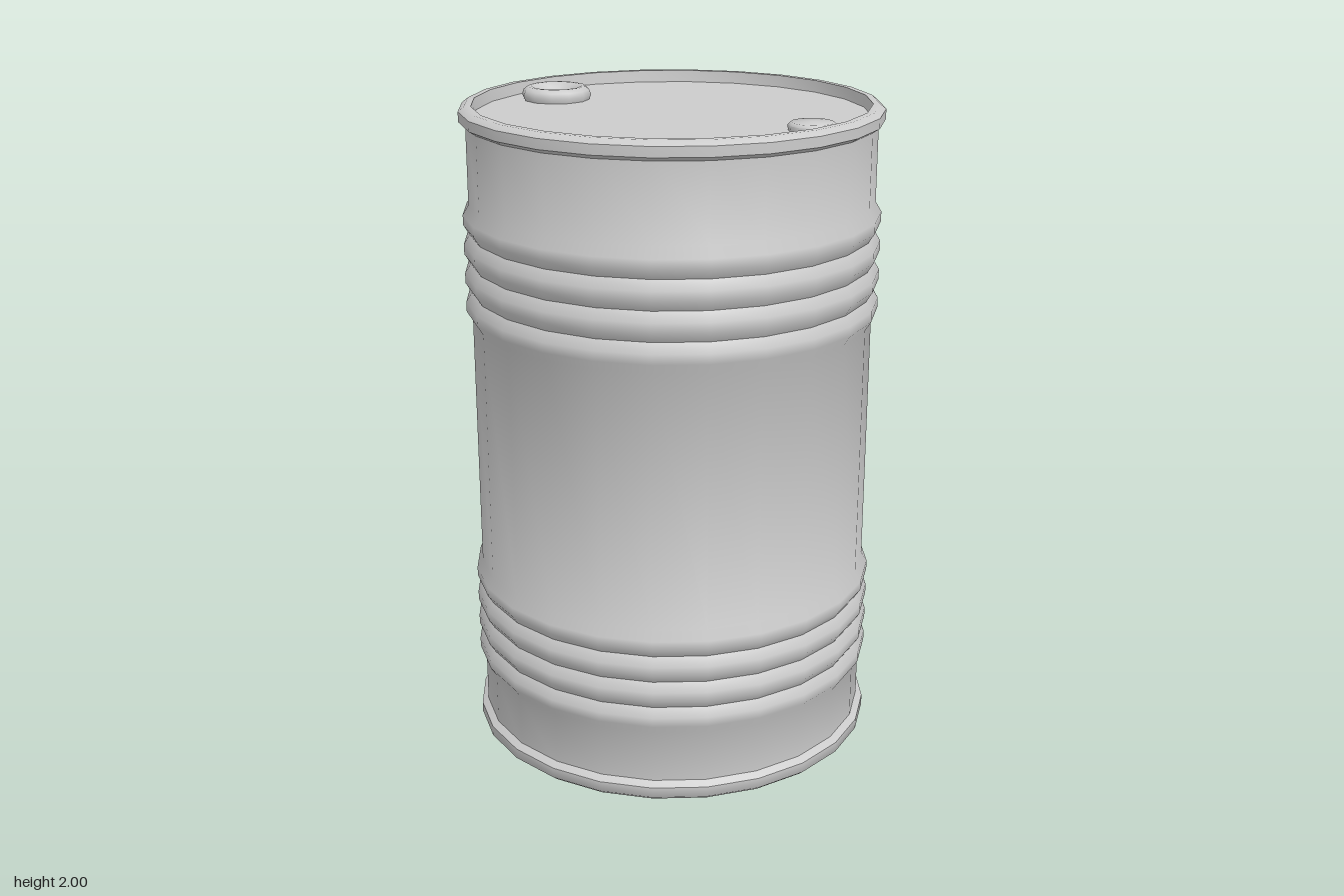
import * as THREE from 'three';
import { toCreasedNormals } from 'three/addons/utils/BufferGeometryUtils.js';

const SIDES = 24;
const WALL = 0.61, RIB = 0.628, LID_Y = 1.96;

export function createModel() {
  const drum = new THREE.Group();
  drum.name = 'drum';
  const material = new THREE.MeshStandardMaterial({ color: 0xcccccc });

  // Revolve a list of [radius, y] points, running from bottom to top on the outside
  const revolve = (name, points, sides, crease, x = 0) => {
    const profile = points.map(([r, y]) => new THREE.Vector2(r, y));
    const geometry = toCreasedNormals(new THREE.LatheGeometry(profile, sides), crease);
    const mesh = new THREE.Mesh(geometry, material);
    mesh.name = name;
    mesh.position.x = x;
    drum.add(mesh);
  };

  // Side wall with two bands of four rounded ribs
  const wall = [[WALL, 0.04]];
  for (const [start, pitch] of [[0.225, 0.084], [1.35, 0.089]]) {
    for (let i = 0; i < 4; i++) {
      const y = start + i * pitch;
      if (i === 0) wall.push([WALL, y]);
      wall.push([RIB, y + pitch * 0.33], [RIB, y + pitch * 0.67], [WALL, y + pitch]);
    }
  }
  wall.push([WALL, 1.96]);
  revolve('wall', wall, SIDES, 1.0);

  // Bottom rim closed by a flat base
  revolve('base', [
    [0, 0], [0.614, 0], [0.63, 0.014], [0.63, 0.046], [0.608, 0.062],
  ], SIDES, 0.9);

  // Top rim with the sunken lid
  revolve('rimAndLid', [
    [0.608, 1.938], [0.63, 1.952], [0.63, 1.982], [0.612, 1.996],
    [0.592, 1.996], [0.588, LID_Y], [0, LID_Y],
  ], SIDES, 0.9);

  // Large ring-shaped bung with a dished centre
  revolve('largeBung', [
    [0.1, LID_Y - 0.005], [0.108, 1.975], [0.102, 1.99], [0.088, 2],
    [0.078, 2], [0.066, 1.99], [0.054, 1.975], [0, 1.975],
  ], 12, 0.9, -0.437);

  // Small plain bung
  revolve('smallBung', [
    [0.068, LID_Y - 0.005], [0.07, 1.976], [0.062, 1.984], [0, 1.986],
  ], 12, 0.9, 0.483);

  return drum;
}
